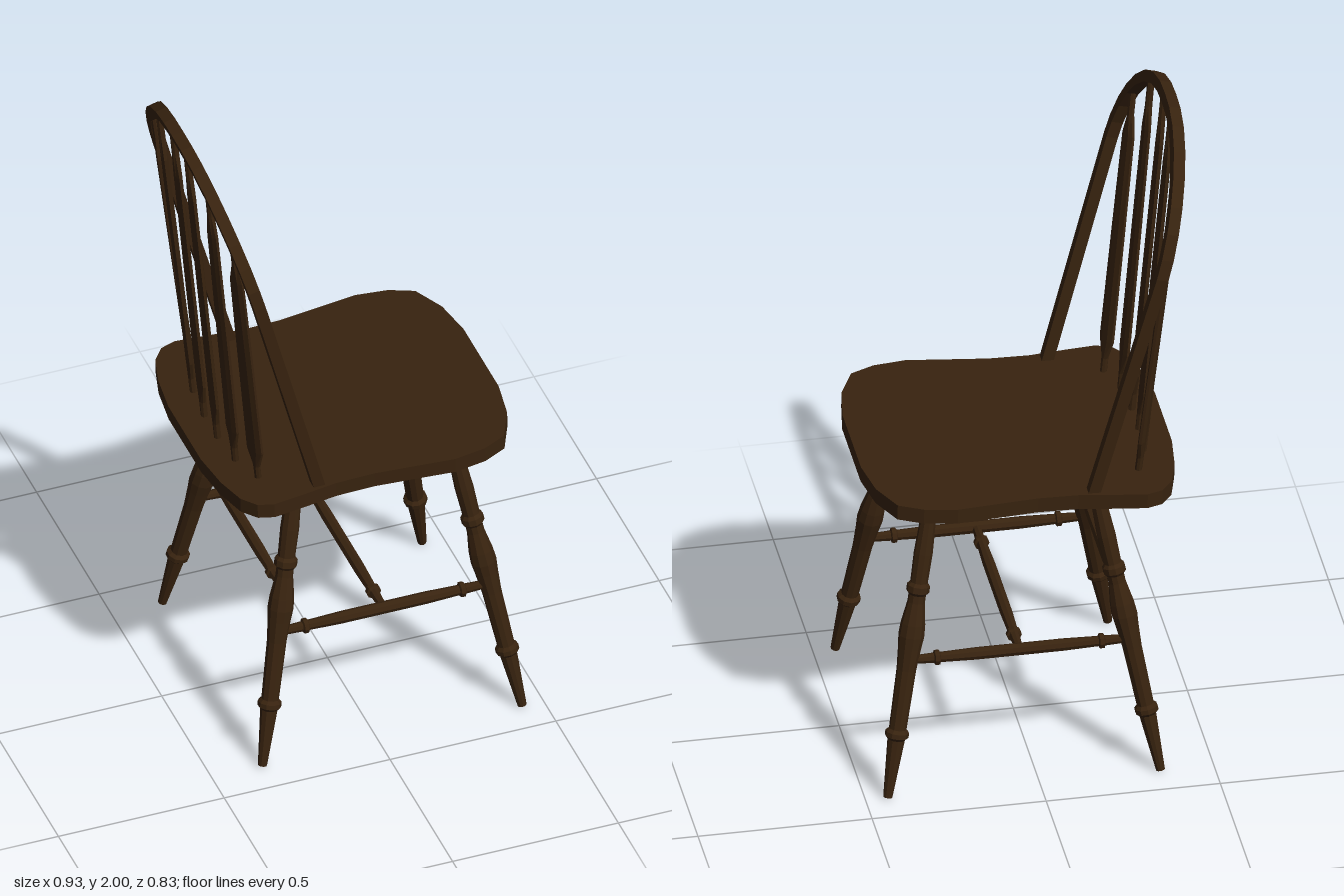
import * as THREE from 'three';

const wood = new THREE.MeshStandardMaterial({ color: 0x38230f, flatShading: true });
wood.name = 'dark stained wood';

const V = (x, y, z) => new THREE.Vector3(x, y, z);

// Turned piece from a to b; profile lists [fraction along, radius]
function turned(name, a, b, profile, sides = 10) {
  const axis = b.clone().sub(a);
  const length = axis.length();
  const points = profile.map(([t, r]) => new THREE.Vector2(r, t * length));
  points.unshift(new THREE.Vector2(0, points[0].y));
  points.push(new THREE.Vector2(0, points[points.length - 1].y));
  const mesh = new THREE.Mesh(new THREE.LatheGeometry(points, sides), wood);
  mesh.name = name;
  mesh.position.copy(a);
  mesh.quaternion.setFromUnitVectors(V(0, 1, 0), axis.normalize());
  return mesh;
}

// Closed shape from half an outline, mirrored across the given axis
function mirroredShape(half, mirrorX) {
  const other = half.map(([x, y]) => (mirrorX ? [-x, y] : [x, -y])).reverse();
  return new THREE.Shape([...half, ...other].map(([x, y]) => new THREE.Vector2(x, y)));
}

function makeSeat() {
  const half = [
    [0.465, 0.14], [0.445, 0.26], [0.4, 0.355], [0.33, 0.388], [0.235, 0.402], [0.12, 0.389],
    [0, 0.376], [-0.115, 0.376], [-0.22, 0.39], [-0.31, 0.4], [-0.355, 0.385], [-0.39, 0.34],
    [-0.415, 0.25], [-0.43, 0.13],
  ];
  const geo = new THREE.ExtrudeGeometry(mirroredShape(half, false), { depth: 0.046, bevelEnabled: false });
  geo.rotateX(-Math.PI / 2).rotateZ(0.025).translate(0, 0.884, 0);
  const seat = new THREE.Mesh(geo, wood);
  seat.name = 'seat';
  return seat;
}

// Bent back bow: flat arch leaning backwards
const lean = 0.263;
const bowX = (y) => -0.165 - (y - 0.93) * Math.tan(lean);
function makeBow() {
  const rise = (y) => (y - 0.93) / Math.cos(lean);
  const outer = [
    [0.371, 0.91], [0.4, 1.63], [0.394, 1.69], [0.372, 1.76], [0.335, 1.826], [0.285, 1.885],
    [0.22, 1.938], [0.145, 1.975], [0.07, 1.992], [0, 1.995],
  ];
  const inner = [
    [0, 1.963], [0.066, 1.96], [0.136, 1.944], [0.203, 1.91], [0.263, 1.862], [0.309, 1.808],
    [0.344, 1.746], [0.364, 1.682], [0.369, 1.63], [0.34, 0.91],
  ];
  const flip = (list) => list.map(([z, y]) => [-z, y]).reverse();
  const loop = [...outer, ...flip(outer).slice(1), ...flip(inner), ...inner.slice(1)];
  const shape = new THREE.Shape(loop.map(([z, y]) => new THREE.Vector2(z, rise(y))));
  const geo = new THREE.ExtrudeGeometry(shape, { depth: 0.034, bevelEnabled: false });
  geo.translate(0, 0, -0.017).rotateY(Math.PI / 2).rotateZ(lean).translate(-0.165, 0.93, 0);
  const bow = new THREE.Mesh(geo, wood);
  bow.name = 'backBow';
  return bow;
}

// Flat arrow-shaped spindle, turned towards the sitter
function makeSpindle(bottom, top, turn) {
  const profile = [[0, 0.009], [0.06, 0.01], [0.125, 0.029], [0.5, 0.027], [0.84, 0.024], [0.91, 0.01], [1, 0.009]];
  const cols = 4;
  const geo = new THREE.CylinderGeometry(1, 1, 1, cols * 2, profile.length - 1);
  geo.rotateY(Math.PI / 8);
  const p = geo.attributes.position;
  for (let i = 0; i < p.count; i++) {
    const [t, w] = profile[Math.round((p.getY(i) + 0.5) * (profile.length - 1))];
    const depth = p.getX(i) * 0.0105;
    const across = p.getZ(i) * w * 1.06;
    const c = bottom.clone().lerp(top, t);
    p.setXYZ(i, c.x + depth * Math.cos(turn) + across * Math.sin(turn), c.y,
      c.z - depth * Math.sin(turn) + across * Math.cos(turn));
  }
  geo.computeVertexNormals();
  const spindle = new THREE.Mesh(geo, wood);
  spindle.name = 'backSpindle';
  return spindle;
}

export function createModel() {
  const chair = new THREE.Group();
  chair.name = 'spindleBackChair';
  chair.add(makeSeat(), makeBow());

  // Splayed legs with turned rings and a swelling
  const legProfile = [
    [0, 0.013], [0.19, 0.025], [0.2, 0.034], [0.215, 0.034], [0.225, 0.025], [0.42, 0.028],
    [0.49, 0.033], [0.53, 0.037], [0.57, 0.035], [0.64, 0.025], [0.665, 0.025], [0.675, 0.033],
    [0.695, 0.033], [0.705, 0.025], [0.8, 0.027], [1, 0.019],
  ];
  const legs = { frontLeg: [0.436, 0.278], rearLeg: [-0.347, -0.183] };
  const railProfile = [
    [0, 0.012], [0.11, 0.015], [0.115, 0.022], [0.135, 0.022], [0.14, 0.015], [0.3, 0.018],
    [0.7, 0.018], [0.86, 0.015], [0.865, 0.022], [0.885, 0.022], [0.89, 0.015], [1, 0.012],
  ];
  for (const s of [1, -1]) {
    for (const [name, [footX, topX]] of Object.entries(legs)) {
      chair.add(turned(name, V(footX, 0, s * 0.4), V(topX, 0.9, s * 0.238), legProfile));
    }
    chair.add(turned('sideStretcher', V(-0.27, 0.403, s * 0.328), V(0.36, 0.403, s * 0.328), railProfile, 8));

    // Three spindles on each side: [bottom x, bottom z, top y, top z, turn]
    for (const [x, z, y, topZ, turn] of [
      [-0.35, 0.053, 1.972, 0.056, 0],
      [-0.34, 0.168, 1.93, 0.198, 0.2],
      [-0.308, 0.264, 1.82, 0.316, 0.45],
    ]) {
      chair.add(makeSpindle(V(x, 0.91, s * z), V(bowX(y), y, s * topZ), s * turn));
    }
  }

  // Cross rails: middle of the side stretchers, and between the rear legs
  chair.add(turned('middleStretcher', V(0.045, 0.403, -0.328), V(0.045, 0.403, 0.328), railProfile, 8));
  chair.add(turned('rearStretcher', V(-0.25, 0.538, -0.3), V(-0.25, 0.538, 0.3), railProfile, 8));
  return chair;
}
